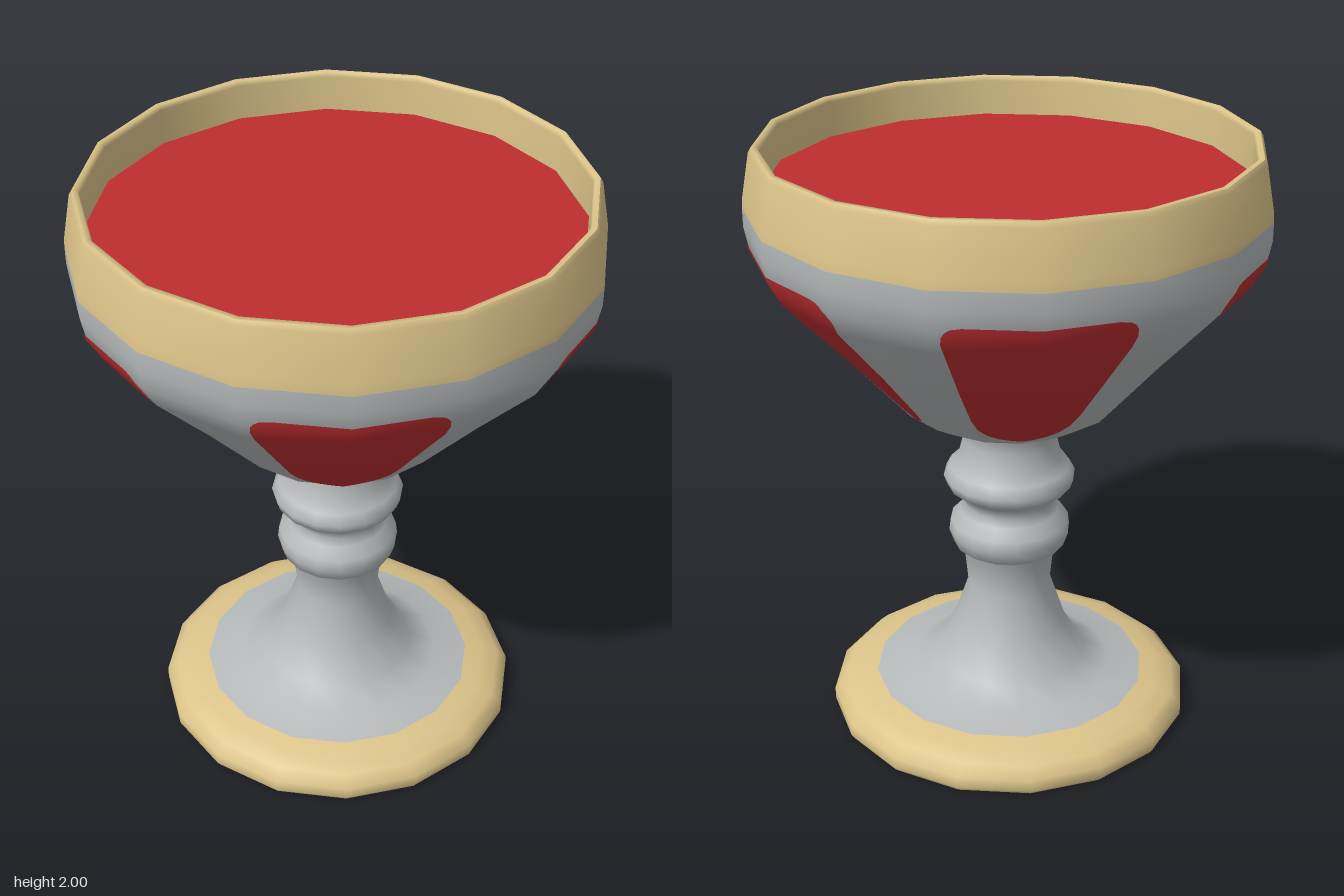
import * as THREE from 'three';

const SIDES = 16;
const STEP = (Math.PI * 2) / SIDES;

const silver = new THREE.MeshStandardMaterial({ name: 'silver', color: 0xb6babb });
const gold = new THREE.MeshStandardMaterial({ name: 'gold', color: 0xdcc48a });
const red = new THREE.MeshStandardMaterial({ name: 'red', color: 0xbe2e30 });

// Profiles as [radius, height], from bottom to top
const footProfile = [[0.6, 0], [0.61, 0.015], [0.61, 0.055], [0.575, 0.088], [0.52, 0.108], [0.46, 0.122]];
const stemProfile = [
  [0.46, 0.122], [0.345, 0.147], [0.26, 0.19], [0.19, 0.31], [0.14, 0.46], [0.153, 0.59],
  [0.188, 0.615], [0.203, 0.66], [0.198, 0.7], [0.165, 0.735], [0.152, 0.765], [0.165, 0.8],
  [0.207, 0.83], [0.219, 0.865], [0.2, 0.9], [0.173, 0.925], [0.155, 1.0], [0.162, 1.05], [0.18, 1.075],
];
const bowlProfile = [
  [0.18, 1.075], [0.275, 1.1], [0.36, 1.15], [0.57, 1.39], [0.762, 1.6],
  [0.806, 1.68], [0.82, 1.75], [0.82, 1.81],
];
const rimProfile = [[0.82, 1.81], [0.818, 1.84], [0.805, 1.91], [0.791, 1.985], [0.782, 2]];
const lipProfile = [[0.782, 2], [0.766, 2], [0.76, 1.985], [0.757, 1.82]];

function add(group, name, geometry, material) {
  const mesh = new THREE.Mesh(geometry, material);
  mesh.name = name;
  group.add(mesh);
  return mesh;
}

const lathe = (profile) =>
  new THREE.LatheGeometry(profile.map(([r, y]) => new THREE.Vector2(r, y)), SIDES);

// Normal of the bowl profile at one of its points
function profileNormal(i) {
  const a = bowlProfile[Math.max(i - 1, 0)];
  const b = bowlProfile[Math.min(i + 1, bowlProfile.length - 1)];
  return new THREE.Vector2(b[1] - a[1], a[0] - b[0]).normalize();
}

// Bowl radius and smooth profile normal at height y
function bowlAt(y) {
  let i = 0;
  while (i < bowlProfile.length - 2 && y > bowlProfile[i + 1][1]) i++;
  const [r0, y0] = bowlProfile[i];
  const [r1, y1] = bowlProfile[i + 1];
  const t = (y - y0) / (y1 - y0);
  return { r: r0 + (r1 - r0) * t, n: profileNormal(i).lerp(profileNormal(i + 1), t).normalize() };
}

// Thin painted sheet following the faceted bowl; rows are [y, from, to] sideways offsets
function paintedSheet(rows) {
  const columns = 24;
  const split = 4;
  const fine = [];
  rows.forEach((row, k) => {
    const next = rows[k + 1];
    const count = next ? split : 1;
    for (let s = 0; s < count; s++) fine.push(row.map((v, c) => (next ? v + ((next[c] - v) * s) / split : v)));
  });
  const positions = [], normals = [], index = [];
  fine.forEach(([y, from, to], j) => {
    const { r, n } = bowlAt(y);
    const a0 = Math.asin(from / (r * 0.99));
    const a1 = Math.asin(to / (r * 0.99));
    for (let i = 0; i <= columns; i++) {
      const a = a0 + ((a1 - a0) * i) / columns;
      const inFacet = a - Math.floor(a / STEP) * STEP - STEP / 2;
      const flat = (r * Math.cos(STEP / 2)) / Math.cos(inFacet) + n.x * 0.004;
      positions.push(Math.sin(a) * flat, y + n.y * 0.004, Math.cos(a) * flat);
      normals.push(Math.sin(a) * n.x, n.y, Math.cos(a) * n.x);
      if (j > 0 && i > 0) {
        const d = j * (columns + 1) + i;
        const b = d - columns - 1;
        index.push(b - 1, b, d, b - 1, d, d - 1);
      }
    }
  });
  const geometry = new THREE.BufferGeometry();
  geometry.setAttribute('position', new THREE.Float32BufferAttribute(positions, 3));
  geometry.setAttribute('normal', new THREE.Float32BufferAttribute(normals, 3));
  geometry.setIndex(index);
  return geometry;
}

// Solid tapered panel: [y, half width]
const panelRows = [
  [1.155, 0.03], [1.163, 0.075], [1.18, 0.11], [1.21, 0.14], [1.26, 0.163], [1.39, 0.203],
  [1.6, 0.262], [1.64, 0.274], [1.67, 0.273], [1.685, 0.265], [1.695, 0.25], [1.7, 0.22],
];
// Half of the arch: [y, inner edge, outer edge]
const archRows = [
  [1.167, 0.195, 0.21], [1.175, 0.186, 0.228], [1.19, 0.183, 0.243], [1.22, 0.19, 0.267],
  [1.39, 0.236, 0.38], [1.48, 0.26, 0.44], [1.52, 0.266, 0.467], [1.56, 0.256, 0.493],
  [1.585, 0.237, 0.51], [1.602, 0.205, 0.519], [1.61, 0.165, 0.524], [1.61, 0, 0.524],
  [1.64, 0, 0.537], [1.67, 0, 0.537], [1.685, 0, 0.531], [1.695, 0, 0.52], [1.7, 0, 0.495],
];

export function createModel() {
  const goblet = new THREE.Group();
  goblet.name = 'goblet';

  // Foot, stem and bowl
  add(goblet, 'foot', lathe(footProfile), gold);
  add(goblet, 'footUnderside', new THREE.CircleGeometry(0.6, SIDES).rotateX(Math.PI / 2), gold);
  add(goblet, 'stem', lathe(stemProfile), silver);
  add(goblet, 'bowl', lathe(bowlProfile), silver);

  // Rim and the wine inside it
  add(goblet, 'rim', lathe(rimProfile), gold);
  add(goblet, 'lip', lathe(lipProfile), gold);
  add(goblet, 'wine', new THREE.CircleGeometry(0.758, SIDES).rotateX(-Math.PI / 2), red).position.y = 1.87;

  // Panels front and back, arches on both sides
  const panel = paintedSheet(panelRows.map(([y, w]) => [y, -w, w]));
  const archHalves = [
    paintedSheet(archRows),
    paintedSheet(archRows.map(([y, inner, outer]) => [y, -outer, -inner])),
  ];
  for (const turn of [0, Math.PI]) {
    add(goblet, 'bowlPanel', panel, red).rotation.y = turn;
    const arch = new THREE.Group();
    arch.name = 'bowlArch';
    archHalves.forEach((half) => add(arch, 'archHalf', half, red));
    arch.rotation.y = turn + Math.PI / 2;
    goblet.add(arch);
  }
  return goblet;
}
